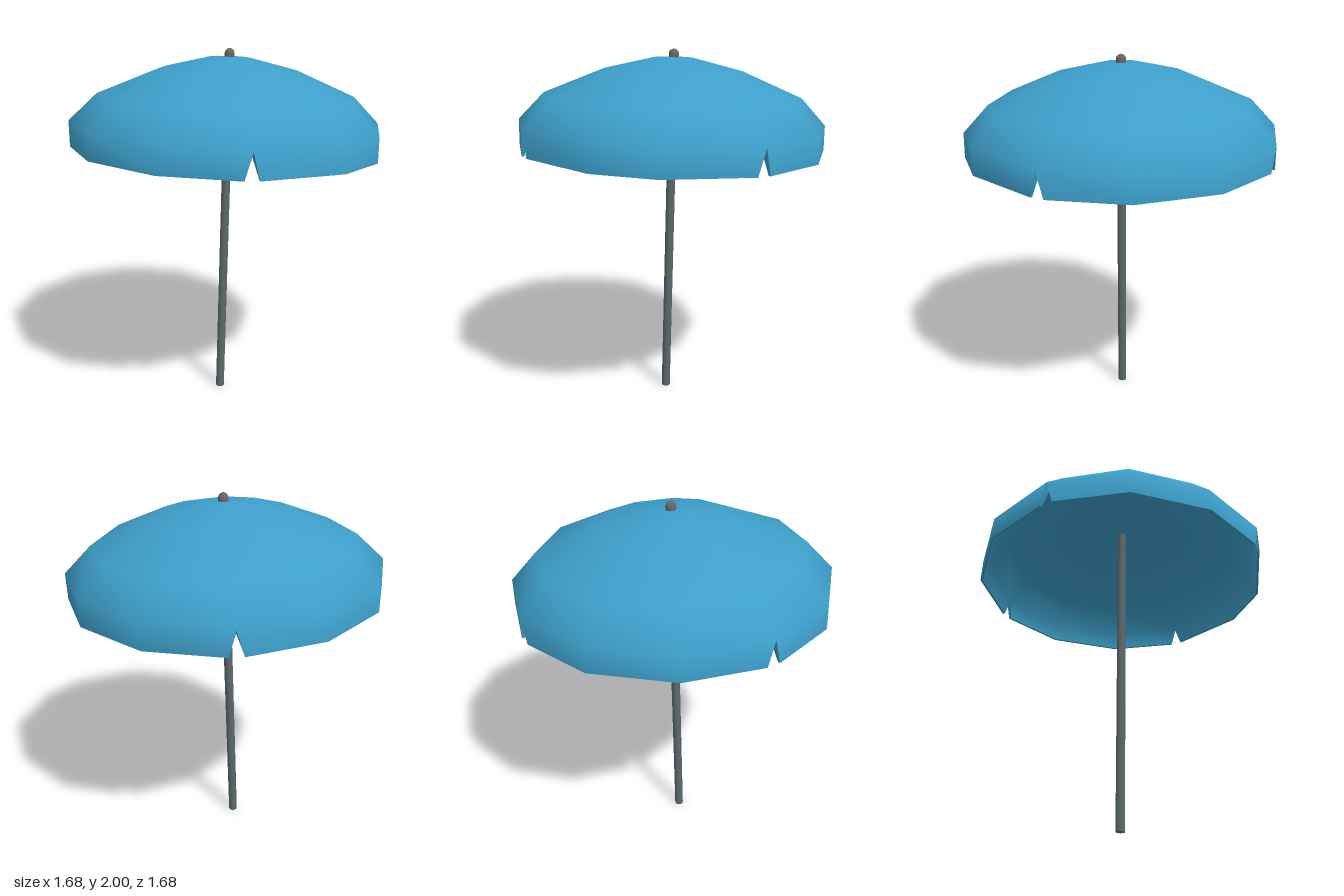
import * as THREE from 'three';
import { mergeGeometries, toCreasedNormals } from 'three/addons/utils/BufferGeometryUtils.js';

const canopyBlue = new THREE.MeshStandardMaterial({ color: 0x3d9fca, side: THREE.DoubleSide });
canopyBlue.name = 'canopy blue';
const poleGrey = new THREE.MeshStandardMaterial({ color: 0x5d696c });
poleGrey.name = 'pole grey';
const finialGrey = new THREE.MeshStandardMaterial({ color: 0x686868 });
finialGrey.name = 'finial grey';

// Corner directions of the twelve cloth panels, in degrees from +x towards +z
const ANGLES = [1.5, 35, 65, 95, 125, 155, 185, 215, 245, 275, 305, 338.5];
// Radius and height: outer skin from apex to hem, then the shallower lining back up
const PROFILE = [
  [0, 1.958], [0.11, 1.954], [0.37, 1.892], [0.70, 1.755], [0.838, 1.611], [0.842, 1.478],
  [0.828, 1.478], [0.807, 1.58], [0.69, 1.705], [0.37, 1.81], [0.12, 1.838], [0, 1.841],
];
const HEM = [5, 6];
const SLIT = 0.036;

function geometryFrom(positions) {
  const geometry = new THREE.BufferGeometry();
  geometry.setAttribute('position', new THREE.Float32BufferAttribute(positions, 3));
  geometry.computeVertexNormals();
  return geometry;
}

function canopyGeometry() {
  const count = ANGLES.length;
  const hasSlit = (j) => j % 3 === 1;
  const ringPoint = (i, j) => {
    const a = THREE.MathUtils.degToRad(ANGLES[j]);
    const [radius, y] = PROFILE[i];
    // The valance bulges a little where it is slit
    const r = radius * (hasSlit(j) && i >= 4 && i <= 7 ? 1.014 : 1);
    return new THREE.Vector3(r * Math.cos(a), y, r * Math.sin(a));
  };
  // Hem corners at a slit are pulled back along the panel edge
  const corner = (i, j, other) => {
    const p = ringPoint(i, j);
    if (!HEM.includes(i) || !hasSlit(j)) return p;
    const along = ringPoint(i, other).sub(p).normalize();
    return p.addScaledVector(along, SLIT);
  };
  const shell = [], walls = [];
  const tri = (list, ...pts) => pts.forEach((p) => list.push(p.x, p.y, p.z));

  for (let j = 0; j < count; j++) {
    const k = (j + 1) % count;
    for (let i = 0; i < PROFILE.length - 1; i++) {
      const a = corner(i, j, k), b = corner(i, k, j);
      const c = corner(i + 1, j, k), d = corner(i + 1, k, j);
      if (PROFILE[i][0] > 0) tri(shell, a, b, c);
      if (PROFILE[i + 1][0] > 0) tri(shell, b, d, c);
    }
    // Cloth thickness along both sides of a slit
    if (hasSlit(j)) {
      for (const other of [k, (j + count - 1) % count]) {
        const outerTip = ringPoint(4, j), innerTip = ringPoint(7, j);
        const outerHem = corner(5, j, other), innerHem = corner(6, j, other);
        if (other === k) {
          tri(walls, outerTip, outerHem, innerHem);
          tri(walls, outerTip, innerHem, innerTip);
        } else {
          tri(walls, outerTip, innerHem, outerHem);
          tri(walls, outerTip, innerTip, innerHem);
        }
      }
    }
  }
  return mergeGeometries([toCreasedNormals(geometryFrom(shell), Math.PI / 3), geometryFrom(walls)]);
}

// Short stem with a rounded cap
function finialGeometry() {
  const points = [new THREE.Vector2(0.027, 1.945)];
  for (let s = 0; s <= 5; s++) {
    const a = (s / 5) * (Math.PI / 2);
    points.push(new THREE.Vector2(0.027 * Math.cos(a), 1.974 + 0.027 * Math.sin(a)));
  }
  return new THREE.LatheGeometry(points, 12);
}

export function createModel() {
  const parasol = new THREE.Group();
  parasol.name = 'parasol';

  const add = (name, geometry, material, y = 0) => {
    const mesh = new THREE.Mesh(geometry, material);
    mesh.name = name;
    mesh.position.y = y;
    parasol.add(mesh);
  };
  add('canopy', canopyGeometry(), canopyBlue);
  add('pole', new THREE.CylinderGeometry(0.0245, 0.0245, 1.95, 12), poleGrey, 0.975);
  add('finial', finialGeometry(), finialGrey);

  // The whole parasol leans slightly backwards
  const lean = new THREE.Vector3(0.009, 1, -0.031).normalize();
  parasol.quaternion.setFromUnitVectors(new THREE.Vector3(0, 1, 0), lean);
  parasol.position.set(-0.013, 0, 0.047);

  const model = new THREE.Group();
  model.name = 'beachParasol';
  model.add(parasol);
  return model;
}
